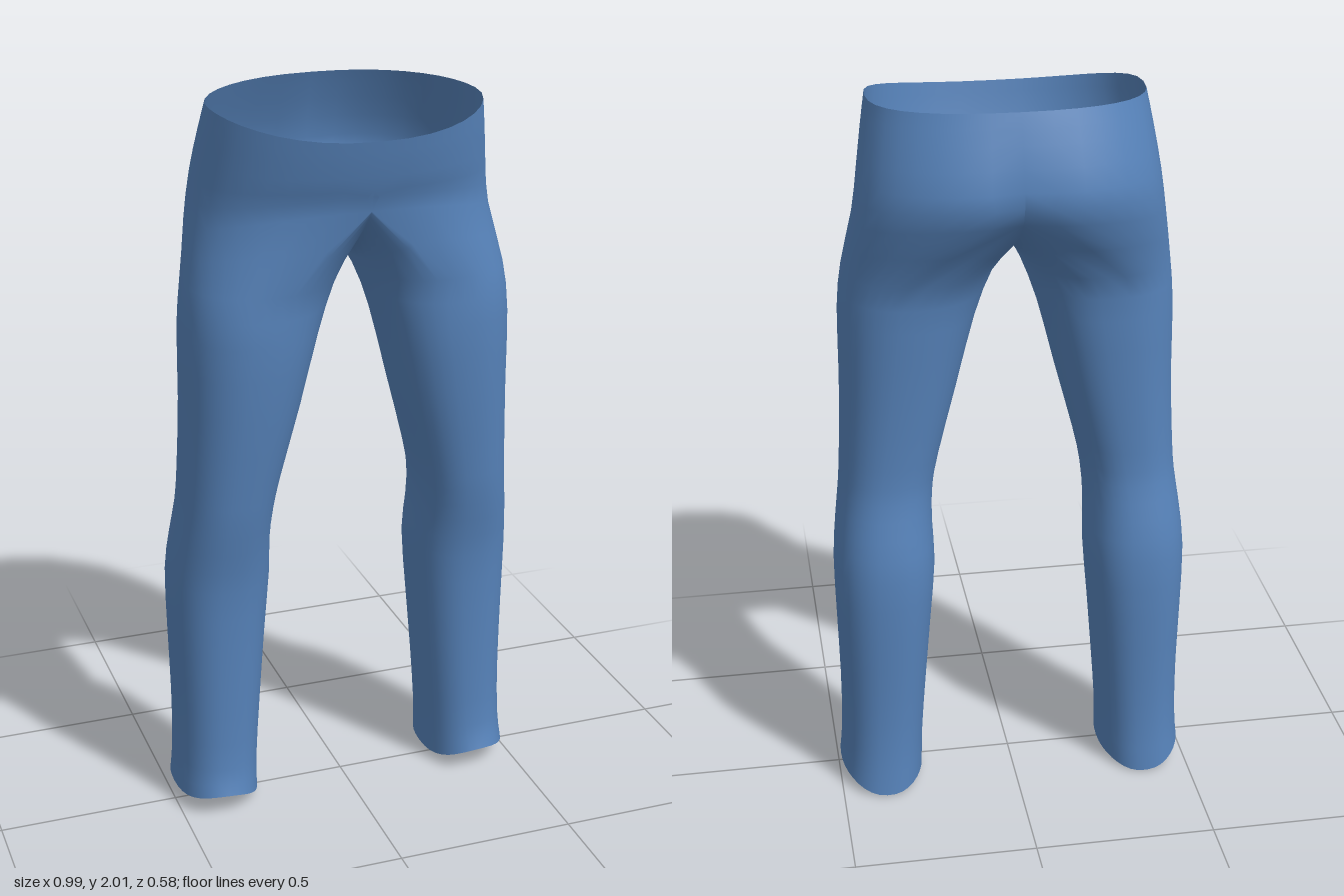
import * as THREE from 'three';
import { mergeVertices, mergeGeometries } from 'three/addons/utils/BufferGeometryUtils.js';

const SIDES = 36; // columns around one leg: front, outer side, back, inner side
const HALF = SIDES / 2;
const STEPS = 2; // smooth rows between neighbouring sections

// Hip sections: y at front, side and back, half width, front z, back z, depth of the back cleft
const HIPS = [
  [1.93, 1.985, 2.0, 0.36, 0.29, -0.22, 0],
  [1.87, 1.9, 1.92, 0.375, 0.277, -0.255, 0.008],
  [1.8, 1.79, 1.81, 0.392, 0.258, -0.293, 0.022],
  [1.74, 1.68, 1.72, 0.408, 0.238, -0.282, 0.03],
];
const CROTCH_Y = 1.6;

// Leg sections: y, inner x, outer x, front z, back z
const LEG = [
  [1.53, 0.037, 0.436, 0.213, -0.168],
  [1.4, 0.085, 0.45, 0.217, -0.155],
  [1.2, 0.137, 0.452, 0.203, -0.145],
  [1.0, 0.19, 0.46, 0.18, -0.14],
  [0.9, 0.21, 0.467, 0.168, -0.146],
  [0.8, 0.216, 0.48, 0.15, -0.168],
  [0.68, 0.213, 0.491, 0.13, -0.188],
  [0.5, 0.228, 0.489, 0.122, -0.188],
  [0.3, 0.245, 0.485, 0.12, -0.181],
  [0.13, 0.258, 0.487, 0.124, -0.182],
  [0.025, 0.262, 0.495, 0.143, -0.195],
];

// Slightly squared sine and cosine for fuller cross-sections
const full = (v) => (Math.abs(v) < 1e-6 ? 0 : Math.sign(v) * Math.abs(v) ** 0.88);

function hipPoint([yf, ys, yb, w, zf, zb, cleft], a) {
  const s = full(Math.sin(a)), c = full(Math.cos(a));
  const y = ys + (c > 0 ? yf - ys : yb - ys) * c * c;
  const x = w * s;
  let z = (zf + zb) / 2 + ((zf - zb) / 2) * c;
  if (c < 0) z += cleft * Math.exp(-((x / 0.07) ** 2));
  return new THREE.Vector3(x, y, z);
}

// Saddle-shaped seam between the legs, from the back centre to the front centre
function seamPoint(a) {
  const section = HIPS[HIPS.length - 1];
  const front = hipPoint(section, 0), back = hipPoint(section, Math.PI);
  const c = Math.cos(a); // -1 at the back, 1 at the front
  const end = c > 0 ? front : back;
  return new THREE.Vector3(
    0,
    CROTCH_Y + (end.y - CROTCH_Y) * Math.abs(c) ** 2.2,
    THREE.MathUtils.lerp(back.z, front.z, (1 + c) / 2),
  );
}

function legPoint([y, xi, xo, zf, zb], a, isHem) {
  const s = Math.sin(a), c = Math.cos(a);
  return new THREE.Vector3(
    (xi + xo) / 2 + ((xo - xi) / 2) * full(s),
    y + (isHem ? 0.024 * c + 0.01 * s + 0.008 * Math.cos(3 * a) : 0),
    (zf + zb) / 2 + ((zf - zb) / 2) * full(c),
  );
}

// One side of the garment: half of the hips flowing into a whole leg
function sideGeometry(mirror) {
  const hipRows = (HIPS.length - 1) * STEPS;
  const rows = hipRows + LEG.length * STEPS;
  const positions = [], index = [], columns = [];

  for (let j = 0; j <= SIDES; j++) {
    const a = ((j % SIDES) / SIDES) * Math.PI * 2;
    const outer = j <= HALF || j === SIDES;
    const points = outer ? HIPS.map((h) => hipPoint(h, a)) : [seamPoint(a)];
    LEG.forEach((l, i) => points.push(legPoint(l, a, i === LEG.length - 1)));
    const curve = new THREE.CatmullRomCurve3(points, false, 'catmullrom', 0.5);
    const first = outer ? 0 : hipRows;
    const column = [];
    for (let r = first; r <= rows; r++) {
      const p = curve.getPoint((r - first) / (rows - first));
      column[r] = positions.length / 3;
      positions.push(mirror * p.x, p.y, p.z);
    }
    columns.push(column);
  }

  for (let j = 0; j < SIDES; j++) {
    const start = j < HALF ? 0 : hipRows;
    for (let r = start; r < rows; r++) {
      const a = columns[j][r], b = columns[j + 1][r];
      const c = columns[j][r + 1], d = columns[j + 1][r + 1];
      if (mirror > 0) index.push(a, c, b, b, c, d);
      else index.push(a, b, c, b, d, c);
    }
  }

  const geometry = new THREE.BufferGeometry();
  geometry.setAttribute('position', new THREE.Float32BufferAttribute(positions, 3));
  geometry.setIndex(index);
  return geometry;
}

export function createModel() {
  const denim = new THREE.MeshStandardMaterial({ color: 0x5682b9, side: THREE.DoubleSide });
  denim.name = 'blue denim';

  // Both sides are welded along the centre so the shading runs smoothly across
  const geometry = mergeVertices(mergeGeometries([sideGeometry(1), sideGeometry(-1)]), 1e-4);
  geometry.computeVertexNormals();

  const trousers = new THREE.Mesh(geometry, denim);
  trousers.name = 'trousers';

  const model = new THREE.Group();
  model.name = 'trousersModel';
  model.add(trousers);
  return model;
}
